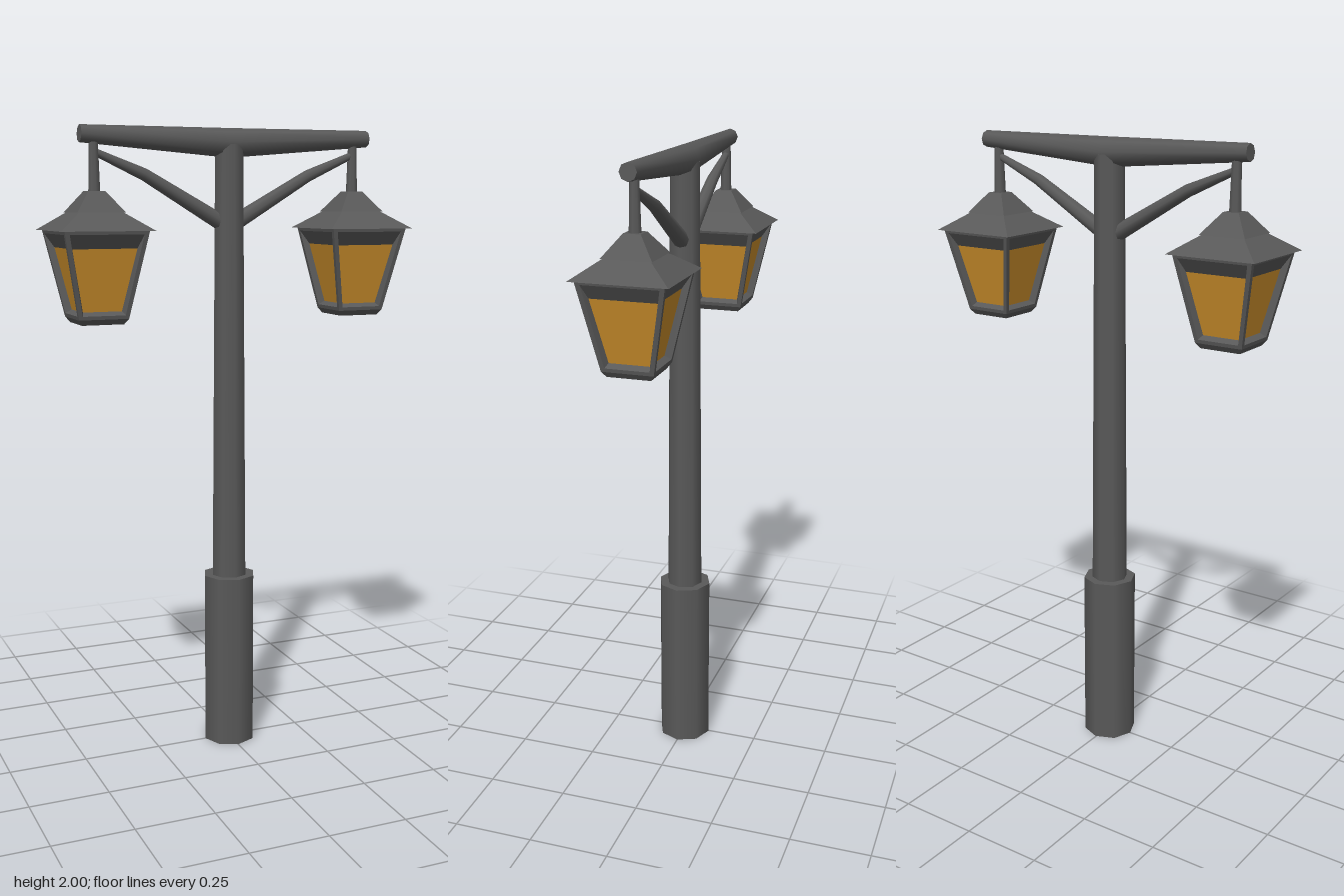
import * as THREE from 'three';
import { mergeGeometries } from 'three/addons/utils/BufferGeometryUtils.js';

const iron = new THREE.MeshStandardMaterial({ color: 0x595959 });
iron.name = 'grey iron';
const amber = new THREE.MeshStandardMaterial({ color: 0xc98d2b });
amber.name = 'amber glass';

const SIDES = 8;

function part(name, geometry, material = iron) {
  const mesh = new THREE.Mesh(geometry, material);
  mesh.name = name;
  return mesh;
}

// Upright round post between two heights
function post(rTop, rBottom, y0, y1) {
  return new THREE.CylinderGeometry(rTop, rBottom, y1 - y0, SIDES).translate(0, (y0 + y1) / 2, 0);
}

// Square frustum with flat faces, given by half widths
function frustum(top, bottom, y0, y1, open = false) {
  const g = new THREE.CylinderGeometry(top * Math.SQRT2, bottom * Math.SQRT2, y1 - y0, 4, 1, open)
    .rotateY(Math.PI / 4).translate(0, (y0 + y1) / 2, 0).toNonIndexed();
  g.computeVertexNormals();
  return g;
}

// Tapered round bar bent through [x, y, radius] stations
function bentBar(stations) {
  const last = stations.length - 1;
  const g = new THREE.CylinderGeometry(1, 1, 1, SIDES, last);
  const pos = g.attributes.position, nor = g.attributes.normal;
  for (let i = 0; i < pos.count; i++) {
    const k = Math.round((pos.getY(i) + 0.5) * last);
    const [x, y, r] = stations[k];
    const a = stations[Math.max(k - 1, 0)], b = stations[Math.min(k + 1, last)];
    const len = Math.hypot(b[0] - a[0], b[1] - a[1]);
    const dx = (b[0] - a[0]) / len, dy = (b[1] - a[1]) / len;
    const px = pos.getX(i) * r, nx = nor.getX(i), ny = nor.getY(i);
    pos.setXYZ(i, x + px * dy, y - px * dx, pos.getZ(i) * r);
    nor.setXYZ(i, nx * dy + ny * dx, -nx * dx + ny * dy, nor.getZ(i));
  }
  return g;
}

// Window frame on four sides: outer rim, then a reveal sloping in to the glass
function windowFrame() {
  const ring = (wt, yt, zt, wb, yb, zb) => [[-wb, yb, zb], [wb, yb, zb], [wt, yt, zt], [-wt, yt, zt]];
  const rings = [
    ring(0.13, 1.692, 0.13, 0.078, 1.43, 0.078),
    ring(0.114, 1.682, 0.128, 0.067, 1.441, 0.08),
    ring(0.1, 1.64, 0.1, 0.061, 1.452, 0.061),
  ];
  const verts = [];
  for (let r = 0; r < 2; r++) {
    for (let i = 0; i < 4; i++) {
      const j = (i + 1) % 4;
      const a = rings[r][i], b = rings[r][j], c = rings[r + 1][j], d = rings[r + 1][i];
      verts.push(...a, ...b, ...c, ...a, ...c, ...d);
    }
  }
  const side = new THREE.BufferGeometry();
  side.setAttribute('position', new THREE.Float32BufferAttribute(verts, 3));
  side.computeVertexNormals();
  return mergeGeometries([0, 1, 2, 3].map(i => side.clone().rotateY(i * Math.PI / 2)));
}

function lantern(name, x) {
  const g = new THREE.Group();
  g.name = name;
  g.add(
    part('hangerRod', post(0.014, 0.019, 1.79, 1.965)),
    part('roofCap', frustum(0.026, 0.075, 1.745, 1.808)),
    part('roof', frustum(0.065, 0.145, 1.692, 1.748)),
    part('windowFrame', windowFrame()),
    part('glass', frustum(0.1, 0.061, 1.452, 1.64, true), amber),
    part('lanternBottom', frustum(0.078, 0.066, 1.413, 1.43)),
  );
  g.position.x = x;
  return g;
}

export function createModel() {
  const model = new THREE.Group();
  model.name = 'streetLamp';

  // Column and crossbeam
  const column = new THREE.Group();
  column.name = 'column';
  column.position.x = 0.003;
  column.add(
    part('base', post(0.086, 0.086, 0, 0.57)),
    part('pole', post(0.047, 0.058, 0.56, 1.95)),
    part('crossbeam', bentBar([[-0.48, 1.975, 0.026], [0, 1.955, 0.045], [0.48, 1.975, 0.026]])),
  );
  model.add(column);

  // Braces and lanterns on both sides
  for (const [label, s] of [['left', 1], ['right', -1]]) {
    model.add(
      part(label + 'Brace', bentBar([[s * 0.02, 1.71, 0.026], [s * 0.275, 1.857, 0.019], [s * 0.43, 1.922, 0.011]])),
      lantern(label + 'Lantern', s * 0.434),
    );
  }
  return model;
}
